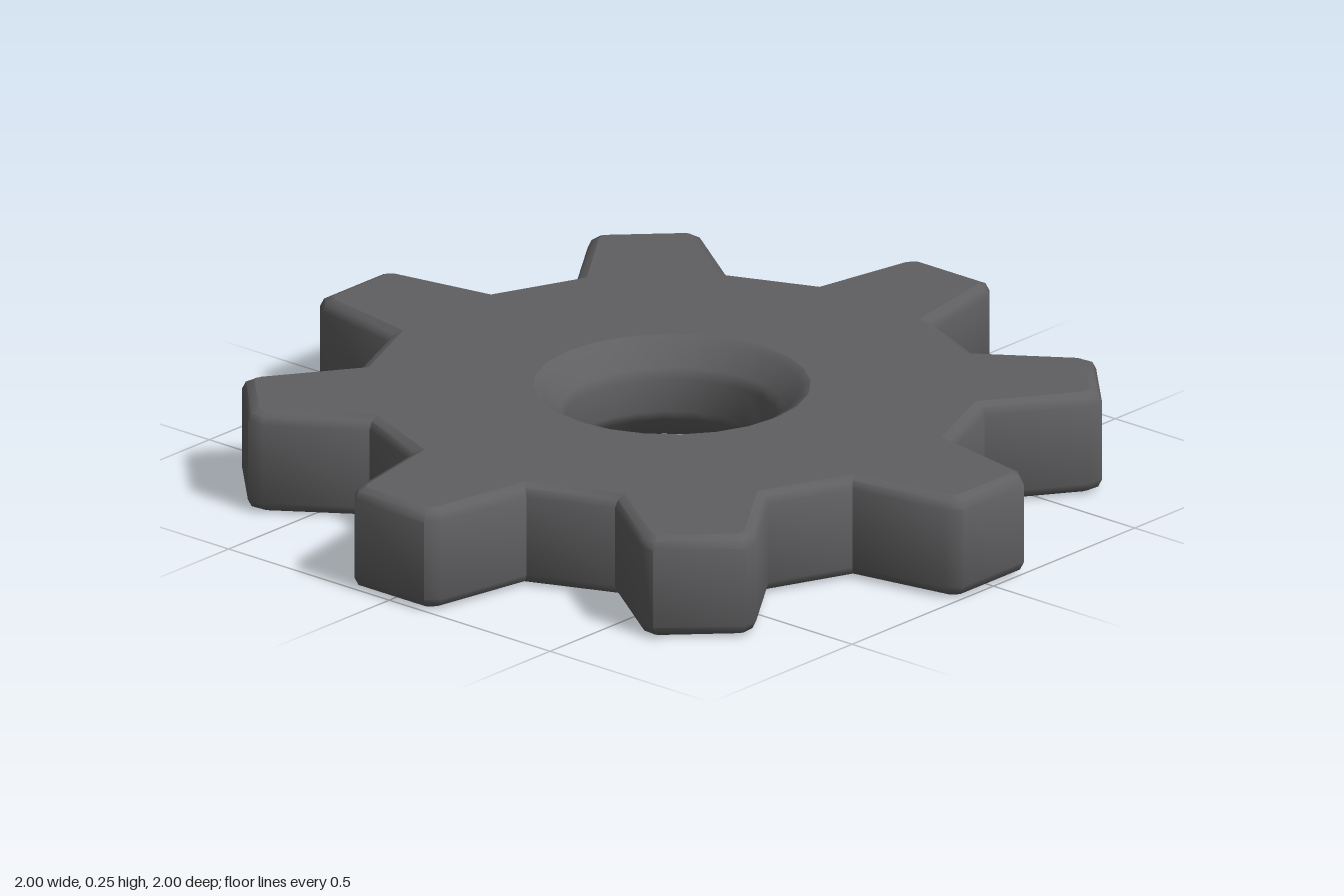
import * as THREE from 'three';
import { toCreasedNormals } from 'three/addons/utils/BufferGeometryUtils.js';

const TEETH = 8, HEIGHT = 0.25, HOLE_SEGMENTS = 24, RIM = 0.325, BORE = 0.25;

// Half-thickness bevel: [inset, height], from the bottom face to the top face
const BEVEL = [[0.028, 0], [0.009, 0.009], [0, 0.028]];
const LEVELS = [...BEVEL, ...BEVEL.map(([s, y]) => [s, HEIGHT - y]).reverse()];

// One tooth as [radial, tangential] points, repeated around the centre
function gearOutline() {
  const tooth = [[0.72, -0.18], [0.968, -0.135], [1, -0.108], [1, 0.108], [0.968, 0.135], [0.72, 0.18]];
  const points = [];
  for (let i = 0; i < TEETH; i++) {
    const a = (i / TEETH) * Math.PI * 2;
    for (const [r, t] of tooth) points.push(new THREE.Vector2(r, t).rotateAround(new THREE.Vector2(), a));
  }
  return points;
}

// Move every edge of a closed counter-clockwise outline inwards
function inset(points, amount) {
  const n = points.length;
  const normal = (a, b) => new THREE.Vector2(a.y - b.y, b.x - a.x).normalize();
  return points.map((p, i) => {
    const n1 = normal(points[(i + n - 1) % n], p);
    const n2 = normal(p, points[(i + 1) % n]);
    return p.clone().addScaledVector(n1.clone().add(n2), amount / (1 + n1.dot(n2)));
  });
}

// Outer walls with rounded upper and lower edges
function wallGeometry(outline) {
  const loops = LEVELS.map(([s, y]) => inset(outline, s).map(p => [p.x, y, p.y]));
  const positions = [];
  for (let k = 0; k < loops.length - 1; k++) {
    const low = loops[k], high = loops[k + 1];
    for (let i = 0; i < low.length; i++) {
      const j = (i + 1) % low.length;
      positions.push(...low[i], ...high[i], ...high[j], ...low[i], ...high[j], ...low[j]);
    }
  }
  const geometry = new THREE.BufferGeometry();
  geometry.setAttribute('position', new THREE.Float32BufferAttribute(positions, 3));
  return toCreasedNormals(geometry, 0.85);
}

// Flat face with the round opening
function faceGeometry(outline) {
  const shape = new THREE.Shape(inset(outline, BEVEL[0][0]));
  const hole = [];
  for (let i = 0; i < HOLE_SEGMENTS; i++) {
    const a = (i / HOLE_SEGMENTS) * Math.PI * 2;
    hole.push(new THREE.Vector2(Math.cos(a) * RIM, -Math.sin(a) * RIM));
  }
  shape.holes.push(new THREE.Path(hole));
  return new THREE.ShapeGeometry(shape);
}

export function createModel() {
  const group = new THREE.Group();
  group.name = 'gear';
  const metal = new THREE.MeshStandardMaterial({ color: 0x5f5f61 });
  metal.name = 'darkGreyMetal';

  const add = (name, geometry) => {
    const mesh = new THREE.Mesh(geometry, metal);
    mesh.name = name;
    group.add(mesh);
  };

  const outline = gearOutline();
  add('toothedWall', wallGeometry(outline));
  add('topFace', faceGeometry(outline).rotateX(-Math.PI / 2).translate(0, HEIGHT, 0));
  add('bottomFace', faceGeometry(outline).rotateX(Math.PI / 2));

  // Centre hole, chamfered at both ends
  const half = [[RIM, 0], [0.305, 0.01], [0.262, 0.06], [BORE, 0.085]];
  const profile = [...half.map(([r, y]) => [r, HEIGHT - y]), ...half.slice().reverse()];
  add('centreHole', new THREE.LatheGeometry(profile.map(([r, y]) => new THREE.Vector2(r, y)), HOLE_SEGMENTS));

  return group;
}
